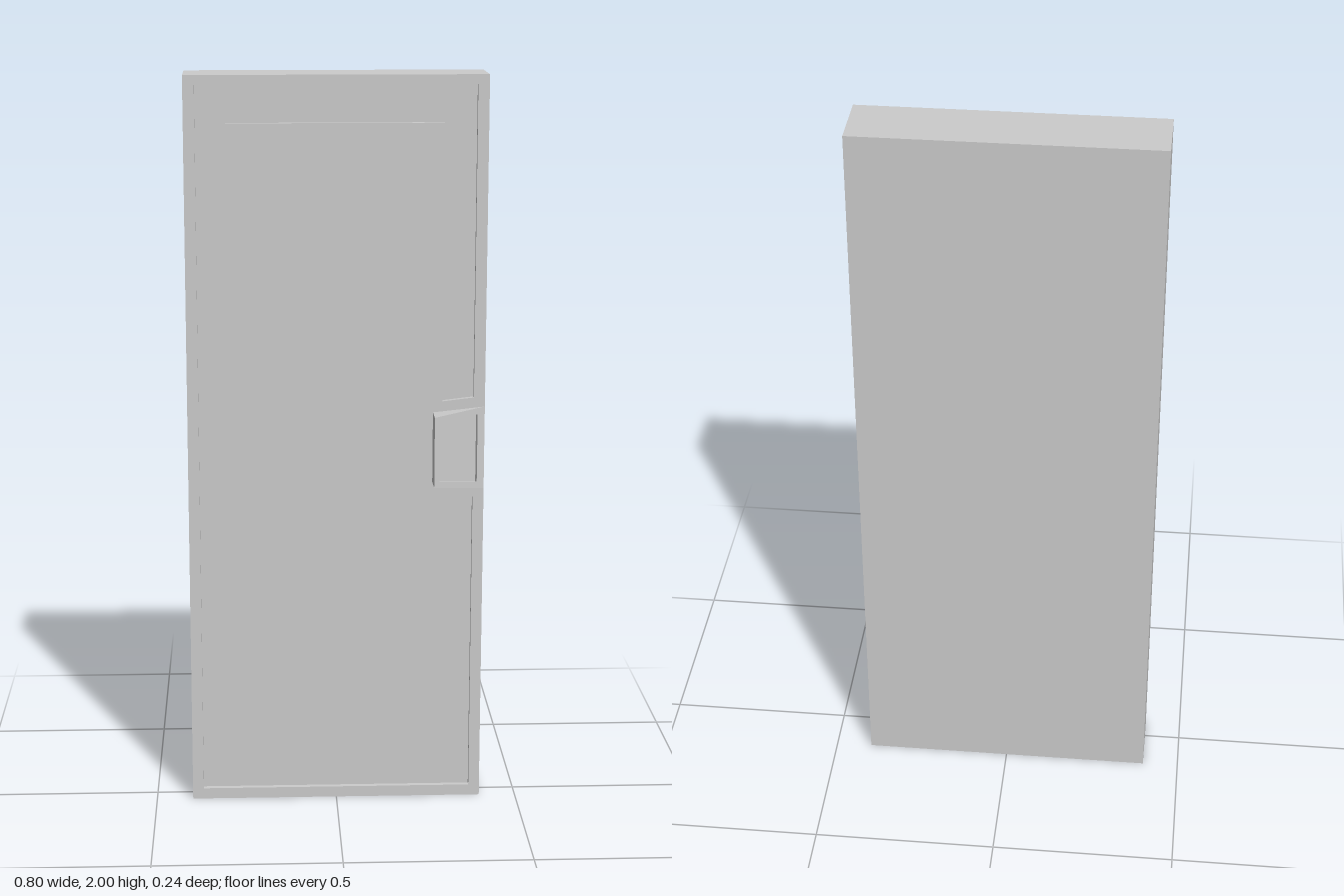
import * as THREE from 'three';

const material = new THREE.MeshStandardMaterial({ color: 0xcccccc, flatShading: true });
const FACE = 0.05, BACK = -0.12, DEPTH = 0.015;

const vectors = (pts) => pts.map(([x, y]) => new THREE.Vector2(x, y));

function addMesh(group, name, geometry) {
  const mesh = new THREE.Mesh(geometry, material);
  mesh.name = name;
  group.add(mesh);
  return mesh;
}

// Flat-shaded surface from corner points and triangles
function facets(points, triangles) {
  const geometry = new THREE.BufferGeometry();
  geometry.setAttribute('position', new THREE.Float32BufferAttribute(points.flat(), 3));
  geometry.setIndex(triangles.flat());
  const flat = geometry.toNonIndexed();
  flat.computeVertexNormals();
  return flat;
}

// Triangles joining two four-sided loops
function bridge(a, b) {
  const tris = [];
  for (let i = 0; i < 4; i++) {
    const j = (i + 1) % 4;
    tris.push([a + i, a + j, b + j], [a + i, b + j, b + i]);
  }
  return tris;
}

export function createModel() {
  const door = new THREE.Group();
  door.name = 'door';

  // Solid slab behind the face relief
  const thickness = FACE - DEPTH - BACK;
  addMesh(door, 'slab', new THREE.BoxGeometry(0.8, 2, thickness))
    .position.set(0, 1, BACK + thickness / 2);

  // Face plate: a C-shaped channel runs round the panel and stops at the handle
  const plate = new THREE.Shape(vectors([[-0.4, 0], [0.4, 0], [0.4, 2], [-0.4, 2]]));
  plate.holes.push(new THREE.Path(vectors([
    [0.37, 1.14], [0.37, 1.975], [-0.37, 1.975], [-0.37, 0.03], [0.37, 0.03], [0.37, 0.865],
    [0.285, 0.875], [0.285, 0.13], [-0.29, 0.13], [-0.29, 1.875], [0.285, 1.875], [0.285, 1.13],
  ])));
  plate.holes.push(new THREE.Path(vectors([[-0.26, 0.155], [0.26, 0.155], [0.26, 1.845], [-0.26, 1.845]])));
  addMesh(door, 'facePlate', new THREE.ExtrudeGeometry(plate, { depth: DEPTH, bevelEnabled: false }))
    .position.z = FACE - DEPTH;

  // Panel field, folded very slightly inward around one point
  addMesh(door, 'panelField', facets(
    [[-0.26, 0.155, FACE], [0.26, 0.155, FACE], [0.26, 1.335, FACE],
      [0.26, 1.845, FACE], [-0.26, 1.845, FACE], [0.09, 1.335, FACE - 0.004]],
    [0, 1, 2, 3, 4].map((i) => [i, (i + 1) % 5, 5]),
  ));

  // Wedge handle: base, slanted front rim, and a shallow pocket sunk along its normal
  const x0 = 0.26, x1 = 0.4, rise = 0.067;
  const slantZ = (x) => FACE + rise * (x1 - x) / (x1 - x0);
  const onSlant = ([x, y]) => [x, y, slantZ(x)];
  const outer = [[x0, 0.907], [x1, 0.888], [x1, 1.115], [x0, 1.1]];
  const inner = [[0.275, 0.922], [0.38, 0.908], [0.38, 1.096], [0.275, 1.085]];
  const base = outer.map(([x, y]) => [x, y, FACE]);
  const front = outer.map(onSlant);
  const lip = inner.map(onSlant);
  const pocket = lip.map(([x, y, z]) => [x - 0.0035, y, z - 0.007]);
  addMesh(door, 'handle', facets(
    [...base, ...front, ...lip, ...pocket],
    [...bridge(0, 4), ...bridge(4, 8), ...bridge(8, 12), [12, 13, 14], [12, 14, 15]],
  ));

  return door;
}
